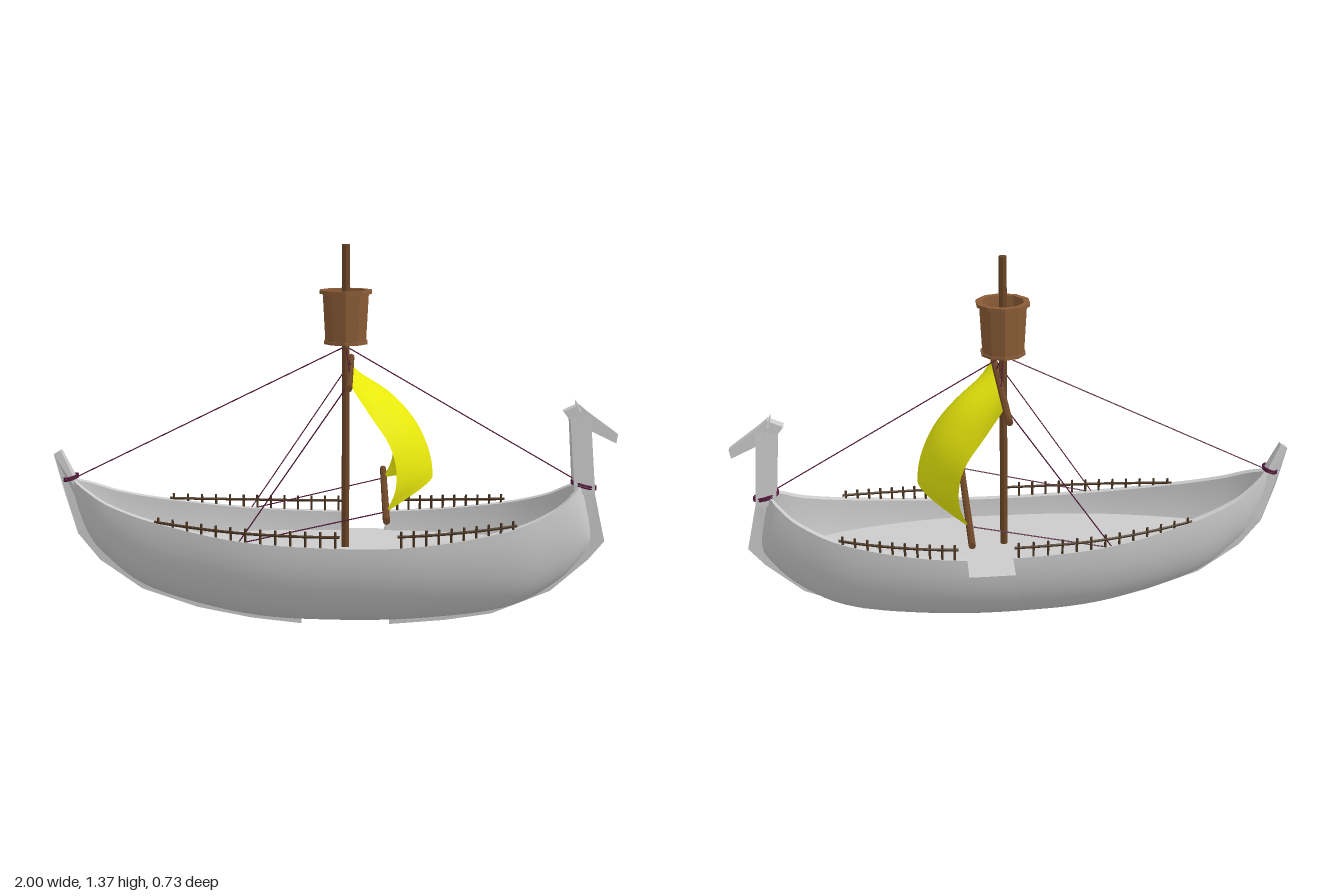
import * as THREE from 'three';

const mat = (color, extra = {}) => new THREE.MeshStandardMaterial({ color, ...extra });
const V = (x, y, z = 0) => new THREE.Vector3(x, y, z);

// Hull stations: gunwale (x, y, half width) paired with keel (x, y)
const GUNWALE = new THREE.CatmullRomCurve3([
  V(-0.94, 0.54, 0.012), V(-0.88, 0.51, 0.065), V(-0.78, 0.465, 0.115), V(-0.6, 0.42, 0.17),
  V(-0.3, 0.375, 0.228), V(0.05, 0.36, 0.245), V(0.32, 0.37, 0.238), V(0.6, 0.41, 0.19),
  V(0.76, 0.46, 0.125), V(0.84, 0.51, 0.07), V(0.88, 0.54, 0.012)], false, 'catmullrom');
const KEEL = new THREE.CatmullRomCurve3([
  V(-0.94, 0.48), V(-0.89, 0.34), V(-0.82, 0.25), V(-0.66, 0.135), V(-0.32, 0.045), V(0, 0.025),
  V(0.32, 0.035), V(0.62, 0.075), V(0.8, 0.17), V(0.9, 0.28), V(0.93, 0.34)], false, 'catmullrom');
const DECK_Y = 0.29;

// Curve parameter where the gunwale reaches a given x
function uAt(x) {
  let a = 0, b = 1;
  for (let i = 0; i < 30; i++) {
    const m = (a + b) / 2;
    if (GUNWALE.getPoint(m).x < x) a = m; else b = m;
  }
  return a;
}

// Point on the elliptical hull section; h runs 0 (keel) to 1 (gunwale)
function hullPoint(u, h, inset, side) {
  const g = GUNWALE.getPoint(u), k = KEEL.getPoint(u);
  const w = Math.max(g.z - inset, 0.001) * Math.sqrt(Math.max(0, 1 - (1 - h) ** 2));
  return V(k.x + (g.x - k.x) * h, k.y + (g.y - k.y) * h + (inset && h < 0.2 ? 0.01 : 0), side * w);
}

function heightRatio(u, y) {
  const g = GUNWALE.getPoint(u).y, k = KEEL.getPoint(u).y;
  return THREE.MathUtils.clamp((y - k) / (g - k), 0, 1);
}

// Surface through a grid of points f(s, t)
function grid(f, ns, nt) {
  const pos = [], idx = [];
  for (let i = 0; i <= ns; i++) for (let j = 0; j <= nt; j++) {
    const p = f(i / ns, j / nt);
    pos.push(p.x, p.y, p.z);
    if (i < ns && j < nt) {
      const a = i * (nt + 1) + j, b = a + nt + 1;
      idx.push(a, b, a + 1, b, b + 1, a + 1);
    }
  }
  const geo = new THREE.BufferGeometry();
  geo.setAttribute('position', new THREE.Float32BufferAttribute(pos, 3));
  geo.setIndex(idx);
  geo.computeVertexNormals();
  return geo;
}

// Flat plate in the xy plane whose thickness varies with position
function plate(points, width) {
  const shape = new THREE.Shape(points.map(p => new THREE.Vector2(...p)));
  const geo = new THREE.ExtrudeGeometry(shape, { depth: 1, bevelEnabled: false });
  geo.translate(0, 0, -0.5);
  const p = geo.attributes.position;
  for (let i = 0; i < p.count; i++) p.setZ(i, p.getZ(i) * width(p.getX(i), p.getY(i)));
  geo.computeVertexNormals();
  return geo;
}

export function createModel() {
  const model = new THREE.Group();
  model.name = 'sailingLongship';
  const grey = mat(0xcccccc, { side: THREE.DoubleSide });
  const wood = mat(0x6b4526, { flatShading: true });
  const nestWood = mat(0x8a5c36, { flatShading: true, side: THREE.DoubleSide });
  const railWood = mat(0x4a3520, { flatShading: true });
  const ropeMat = mat(0x55183c);
  const yellow = mat(0xe8e80c, { side: THREE.DoubleSide });

  const add = (name, geo, material, parent = model) => {
    const m = new THREE.Mesh(geo, material);
    m.name = name;
    parent.add(m);
    return m;
  };
  const beam = (name, a, b, r, sides, material, parent) => {
    const d = b.clone().sub(a);
    const m = add(name, new THREE.CylinderGeometry(r, r, d.length(), sides), material, parent);
    m.position.copy(a).addScaledVector(d, 0.5);
    m.quaternion.setFromUnitVectors(V(0, 1, 0), d.normalize());
  };

  // Hull walls with thickness; the -z side has a boarding gap
  const hull = new THREE.Group();
  hull.name = 'hull';
  model.add(hull);
  function wall(side, u0, u1, n, topY) {
    const U = s => u0 + (u1 - u0) * s;
    const H = (u, t) => (topY ? heightRatio(u, topY) : 1) * (1 - Math.cos(t * Math.PI / 2)) ;
    const skin = inset => (s, t) => hullPoint(U(s), H(U(s), t), inset, side);
    const between = (s, t, r) => skin(0)(s, t).lerp(skin(0.024)(s, t), r);
    // Row order flips with the side so that faces point outward
    const flip = f => side > 0 ? f : (s, t) => f(1 - s, t);
    add('outerPlanking', grid(flip(skin(0)), n, 16), grey, hull);
    add('innerPlanking', grid(flip((s, t) => skin(0.024)(1 - s, t)), n, 16), grey, hull);
    add('gunwale', grid(flip((s, r) => between(s, 1, r)), n, 1), grey, hull);
    for (const e of [0, 1]) add('wallEnd', grid((r, t) => between(e, t, r), 1, 16), grey, hull);
  }
  const gapStart = uAt(0.03), gapEnd = uAt(0.19);
  wall(1, 0, 1, 60);
  wall(-1, 0, gapStart, 34);
  wall(-1, gapStart, gapEnd, 6, DECK_Y);
  wall(-1, gapEnd, 1, 26);

  // Deck
  add('deck', grid((s, t) => {
    const u = uAt(-0.85) + (uAt(0.84) - uAt(-0.85)) * s;
    const p = hullPoint(u, heightRatio(u, DECK_Y), 0.012, 1);
    return V(p.x, DECK_Y, p.z * (2 * t - 1) * -1);
  }, 50, 2), grey);

  // Keel strips with the stern post and the bow stem
  const stemWidth = (x, y) => y < 0.5 ? 0.016 + 0.06 * y : Math.max(0.046 - 0.16 * (y - 0.5), 0.022);
  add('sternPost', plate([[-1, 0.63], [-0.965, 0.49], [-0.925, 0.34], [-0.85, 0.24], [-0.7, 0.13],
    [-0.5, 0.06], [-0.3, 0.02], [-0.12, 0], [-0.12, 0.03], [-0.3, 0.05], [-0.5, 0.095], [-0.68, 0.16],
    [-0.82, 0.27], [-0.88, 0.37], [-0.92, 0.5], [-0.93, 0.545], [-0.975, 0.645]], stemWidth), grey);
  add('bowStem', plate([[0.2, 0], [0.4, 0.018], [0.57, 0.045], [0.78, 0.135], [0.91, 0.255], [0.965, 0.325],
    [0.918, 0.52], [0.85, 0.53], [0.87, 0.45], [0.9, 0.32], [0.86, 0.25], [0.75, 0.16], [0.57, 0.085],
    [0.4, 0.055], [0.2, 0.035]], stemWidth), grey);

  // Animal-shaped figurehead on the bow
  const figurehead = new THREE.Group();
  figurehead.name = 'figurehead';
  model.add(figurehead);
  add('neck', plate([[0.85, 0.5], [0.922, 0.5], [0.902, 0.72], [0.9, 0.78], [0.825, 0.77]],
    (x, y) => 0.06 - 0.09 * (y - 0.5)), grey, figurehead);
  add('head', plate([[0.825, 0.765], [0.9, 0.725], [0.99, 0.682], [0.995, 0.715], [0.885, 0.795],
    [0.855, 0.82], [0.802, 0.795]], x => 0.036 - 0.07 * Math.max(0, x - 0.85)), grey, figurehead);
  for (const s of [-1, 1]) {
    const ear = add('ear', new THREE.ConeGeometry(0.01, 0.04, 4), grey, figurehead);
    ear.position.set(0.85, 0.815, s * 0.014);
    ear.rotation.z = 0.3;
  }

  // Mast and yards
  const mastX = 0.04;
  beam('mast', V(mastX, DECK_Y - 0.02, 0), V(mastX, 1.37, 0), 0.0135, 8, wood);
  beam('upperYard', V(0.055, 0.93, -0.376), V(0.055, 0.93, 0.356), 0.012, 8, wood);
  beam('lowerYard', V(0.18, 0.492, -0.376), V(0.18, 0.492, 0.356), 0.012, 8, wood);

  // Crow's nest: hollow tapered tub with a rim and a floor
  const nest = add('lookoutTub', new THREE.LatheGeometry([[0, 1.03], [0.079, 1.03], [0.079, 1.04], [0.074, 1.04],
    [0.083, 1.203], [0.094, 1.203], [0.094, 1.215], [0.073, 1.215], [0.066, 1.045], [0, 1.045]]
    .map(p => new THREE.Vector2(...p)), 10), nestWood);
  nest.position.x = mastX;

  // Billowing sail: side edge and centre line blended across the width
  const edge = new THREE.CatmullRomCurve3([V(0.05, 0.935), V(0.125, 0.82), V(0.19, 0.72), V(0.213, 0.64),
    V(0.21, 0.56), V(0.18, 0.49)]);
  const centre = new THREE.CatmullRomCurve3([V(0.055, 0.935), V(0.19, 0.86), V(0.28, 0.765), V(0.325, 0.68),
    V(0.345, 0.61), V(0.35, 0.56)]);
  add('sail', grid((s, t) => {
    const q = 2 * s - 1;
    const p = edge.getPoint(t).lerp(centre.getPoint(t), Math.cos(q * Math.PI / 2));
    return p.setZ(q * 0.242);
  }, 24, 20), yellow);

  // Railings along both gunwales
  const railPoint = (x, s, dy = 0) =>
    V(x, 0.395 + 0.07 * x * x + dy, s * (GUNWALE.getPoint(uAt(x)).z - 0.006));
  for (const s of [-1, 1]) for (const [x0, x1, n] of [[-0.62, 0.025, 13], [0.22, 0.63, 10]]) {
    const railing = new THREE.Group();
    railing.name = 'railing';
    model.add(railing);
    const pts = [];
    for (let i = 0; i < n; i++) {
      const x = x0 + (x1 - x0) * (i + 0.3) / (n - 0.4);
      beam('post', railPoint(x, s, -0.05), railPoint(x, s, 0.022), 0.0045, 5, railWood, railing);
    }
    for (let i = 0; i <= 8; i++) pts.push(railPoint(x0 + (x1 - x0) * i / 8, s, 0.004));
    add('handrail', new THREE.TubeGeometry(new THREE.CatmullRomCurve3(pts), 16, 0.005, 5), railWood, railing);
  }

  // Rigging: stays, braces and the lashings around both posts
  const rigging = new THREE.Group();
  rigging.name = 'rigging';
  model.add(rigging);
  const rope = (a, b) => beam('rope', a, b, 0.0022, 5, ropeMat, rigging);
  const top = V(mastX, 1.02, 0);
  rope(top, V(-0.935, 0.54, 0));
  rope(top, V(0.885, 0.53, 0));
  for (const s of [-1, 1]) {
    rope(top, V(0.055, 0.94, s * 0.09));
    rope(V(0.055, 0.93, s * 0.255), V(-0.32, 0.375, s * 0.22));
    rope(V(0.18, 0.49, s * 0.235), V(-0.3, 0.375, s * 0.222));
  }
  for (const [x, y, rx, tilt] of [[-0.945, 0.54, 0.026, 0.25], [0.885, 0.525, 0.044, -0.25]]) for (const dy of [0, 0.008]) {
    const lashing = add('lashing', new THREE.TorusGeometry(1, 0.1, 6, 20).rotateX(Math.PI / 2), ropeMat, rigging);
    lashing.scale.set(rx, 0.04, 0.032);
    lashing.position.set(x, y + dy, 0);
    lashing.rotation.z = tilt;
  }

  model.position.z = 0.01;
  return model;
}
